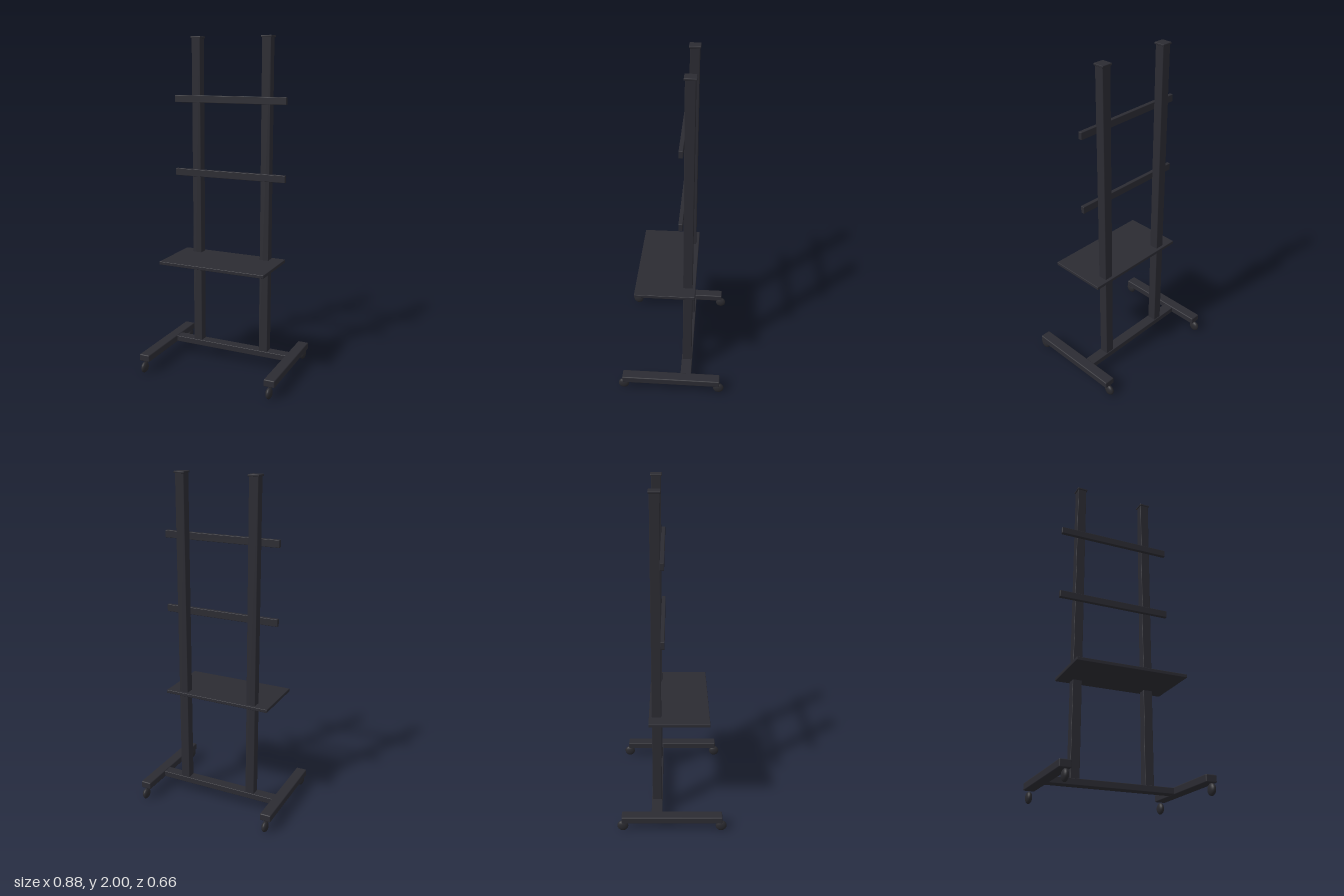
import * as THREE from 'three';
import { RoundedBoxGeometry } from 'three/addons/geometries/RoundedBoxGeometry.js';

export function createModel() {
  const model = new THREE.Group();
  model.name = 'rollingDisplayStand';

  const metal = new THREE.MeshStandardMaterial({ color: 0x2b2b32 });
  metal.name = 'charcoal metal';
  const rubber = new THREE.MeshStandardMaterial({ color: 0x28282d });
  rubber.name = 'dark rubber';

  // Softly rounded bar given by its size and centre
  function bar(name, [w, h, d], [x, y, z], radius = 0.004) {
    const mesh = new THREE.Mesh(new RoundedBoxGeometry(w, h, d, 2, radius), metal);
    mesh.name = name;
    mesh.position.set(x, y, z);
    model.add(mesh);
  }

  const postZ = -0.09;

  // Cross beam joining the feet
  bar('crossBeam', [0.76, 0.036, 0.065], [0, 0.091, postZ], 0.003);

  // Flat caster wheel, bulging towards its rim
  const wheel = new THREE.SphereGeometry(0.033, 20, 14);
  wheel.rotateZ(Math.PI / 2);
  wheel.scale(0.55, 1.03, 1);

  for (const side of [1, -1]) {
    const label = side > 0 ? 'left' : 'right';
    // Upright with its end cap
    bar(label + 'Post', [0.055, 1.9, 0.055], [side * 0.223, 1.045, postZ], 0.003);
    bar(label + 'PostCap', [0.066, 0.012, 0.066], [side * 0.223, 1.994, postZ], 0.003);
    // Foot and its two casters
    bar(label + 'Foot', [0.066, 0.043, 0.6], [side * 0.405, 0.0915, 0], 0.006);
    for (const end of [1, -1]) {
      const caster = new THREE.Mesh(wheel, rubber);
      caster.name = label + (end > 0 ? 'Front' : 'Back') + 'Caster';
      caster.position.set(side * 0.405, 0.034, end * 0.295);
      model.add(caster);
    }
  }

  // Mounting rails on the front of the posts
  bar('upperRail', [0.71, 0.043, 0.023], [0, 1.637, -0.0515], 0.003);
  bar('lowerRail', [0.71, 0.043, 0.023], [0, 1.193, -0.0515], 0.003);

  // Equipment shelf
  bar('shelf', [0.666, 0.02, 0.355], [0, 0.681, 0.0425], 0.003);

  return model;
}
